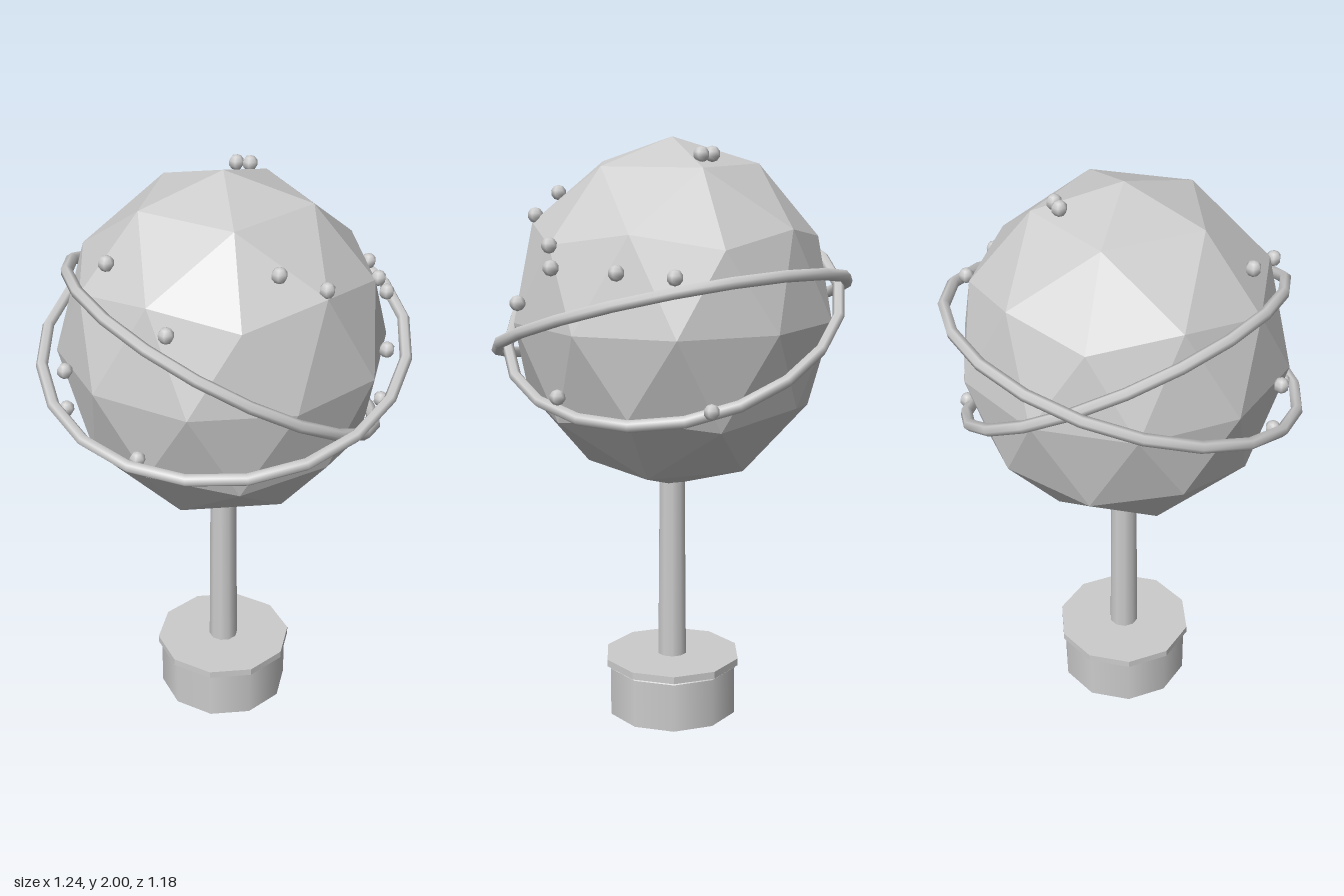
import * as THREE from 'three';

export function createModel() {
  const model = new THREE.Group();
  const grey = new THREE.MeshStandardMaterial({ color: 0xcccccc });
  grey.name = 'pale grey';

  const add = (name, geometry, x = 0, y = 0, z = 0) => {
    const mesh = new THREE.Mesh(geometry, grey);
    mesh.name = name;
    mesh.position.set(x, y, z);
    model.add(mesh);
    return mesh;
  };
  // Gives every face its own normal
  const faceted = (geometry) => {
    const g = geometry.index ? geometry.toNonIndexed() : geometry;
    g.computeVertexNormals();
    return g;
  };

  // Ten-sided base with a small bevel, and its cover plate
  add('base', new THREE.CylinderGeometry(0.228, 0.228, 0.17, 10), 0, 0.085, 0);
  add('baseBevel', new THREE.CylinderGeometry(0.218, 0.228, 0.012, 10), 0, 0.176, 0);
  add('basePlate', faceted(new THREE.CylinderGeometry(0.24, 0.24, 0.025, 10)), 0, 0.192, 0);

  // Slightly tapered post that runs into the globe
  add('post', new THREE.CylinderGeometry(0.045, 0.051, 0.68, 10), 0, 0.54, 0);

  // Faceted globe with a corner at each pole, stretched upwards
  const globe = new THREE.IcosahedronGeometry(1, 1);
  globe.rotateZ(-Math.atan(2 / (1 + Math.sqrt(5))));
  globe.scale(0.545, 0.59, 0.545);
  add('globe', faceted(globe), 0, 1.41, 0);

  // Two tilted orbit rings
  const ring = (name, radius, normal) => {
    const g = new THREE.TorusGeometry(radius, 0.02, 6, 20);
    g.rotateX(Math.PI / 2);
    const up = new THREE.Vector3(0, 1, 0);
    const axis = new THREE.Vector3(...normal).normalize();
    add(name, g, 0, 1.408, 0).quaternion.setFromUnitVectors(up, axis);
  };
  ring('outerRing', 0.6, [0, 0.95, 0.312]);
  ring('innerRing', 0.567, [0.415, 0.872, -0.255]);

  // Small beads scattered over the globe
  const bead = new THREE.SphereGeometry(0.026, 6, 5);
  bead.rotateY(Math.PI / 6);
  const beads = [
    [0, 1.95, -0.21], [0.045, 1.95, -0.21], [0.235, 1.81, 0.325], [0.37, 1.745, 0.26],
    [-0.3, 1.79, 0.3], [-0.07, 1.665, 0.495], [0.495, 1.675, -0.015], [0.52, 1.61, -0.06],
    [0.435, 1.61, -0.29], [0.315, 1.6, -0.425], [0.545, 1.485, 0.1], [-0.435, 1.435, 0.35],
    [-0.445, 1.285, 0.325], [-0.165, 1.24, 0.51], [0.52, 1.205, -0.085], [0.215, 1.185, -0.48],
  ];
  for (const [x, y, z] of beads) add('bead', bead, x, y, z);

  return model;
}
